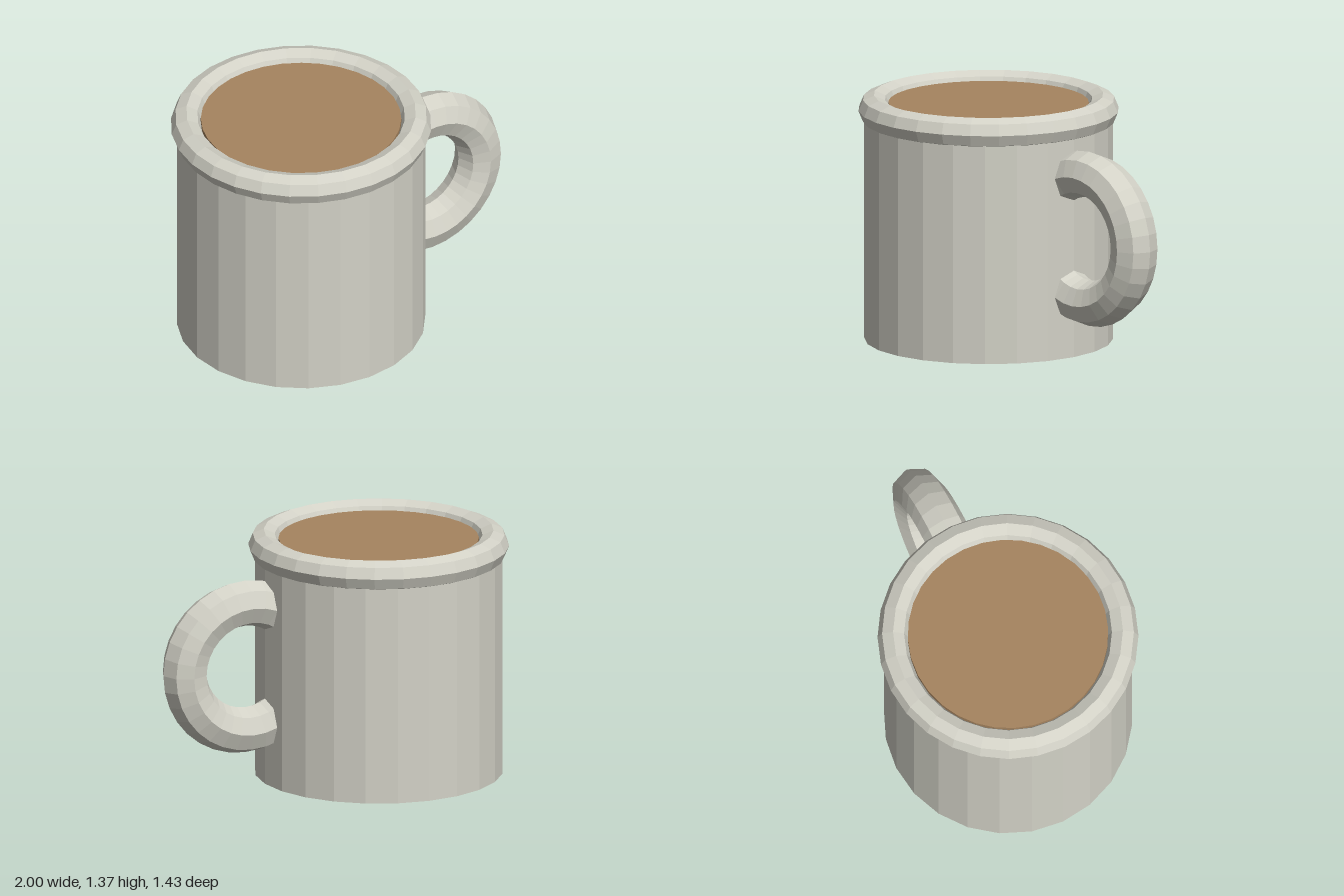
import * as THREE from 'three';

export function createModel() {
  const model = new THREE.Group();
  model.name = 'mug';

  const enamel = new THREE.MeshStandardMaterial({ color: 0xd3d2c7, flatShading: true });
  enamel.name = 'warm grey enamel';
  const coffee = new THREE.MeshStandardMaterial({ color: 0xa6845f, flatShading: true });
  coffee.name = 'milky coffee';

  const add = (name, geometry, material, x, y) => {
    const mesh = new THREE.Mesh(geometry, material);
    mesh.name = name;
    mesh.position.set(x, y, 0);
    model.add(mesh);
  };

  const cupX = -0.287;
  const bodyHeight = 1.28;

  // Straight-sided body
  add('body', new THREE.CylinderGeometry(0.68, 0.68, bodyHeight, 24), enamel, cupX, bodyHeight / 2);

  // Thick rolled rim, eight-sided in section
  const rim = new THREE.TorusGeometry(0.628, 0.085, 8, 28).rotateX(Math.PI / 2);
  add('rim', rim, enamel, cupX, 1.28);

  // Drink, just below the top of the rim
  add('drink', new THREE.CylinderGeometry(0.548, 0.548, 0.06, 32), coffee, cupX, 1.29);

  // Ring handle whose open ends are buried in the body
  const arc = Math.PI * 1.5;
  const handle = new THREE.TorusGeometry(0.359, 0.128, 8, 24, arc).rotateZ(-arc / 2);
  add('handle', handle, enamel, 0.513, 0.68);

  return model;
}
